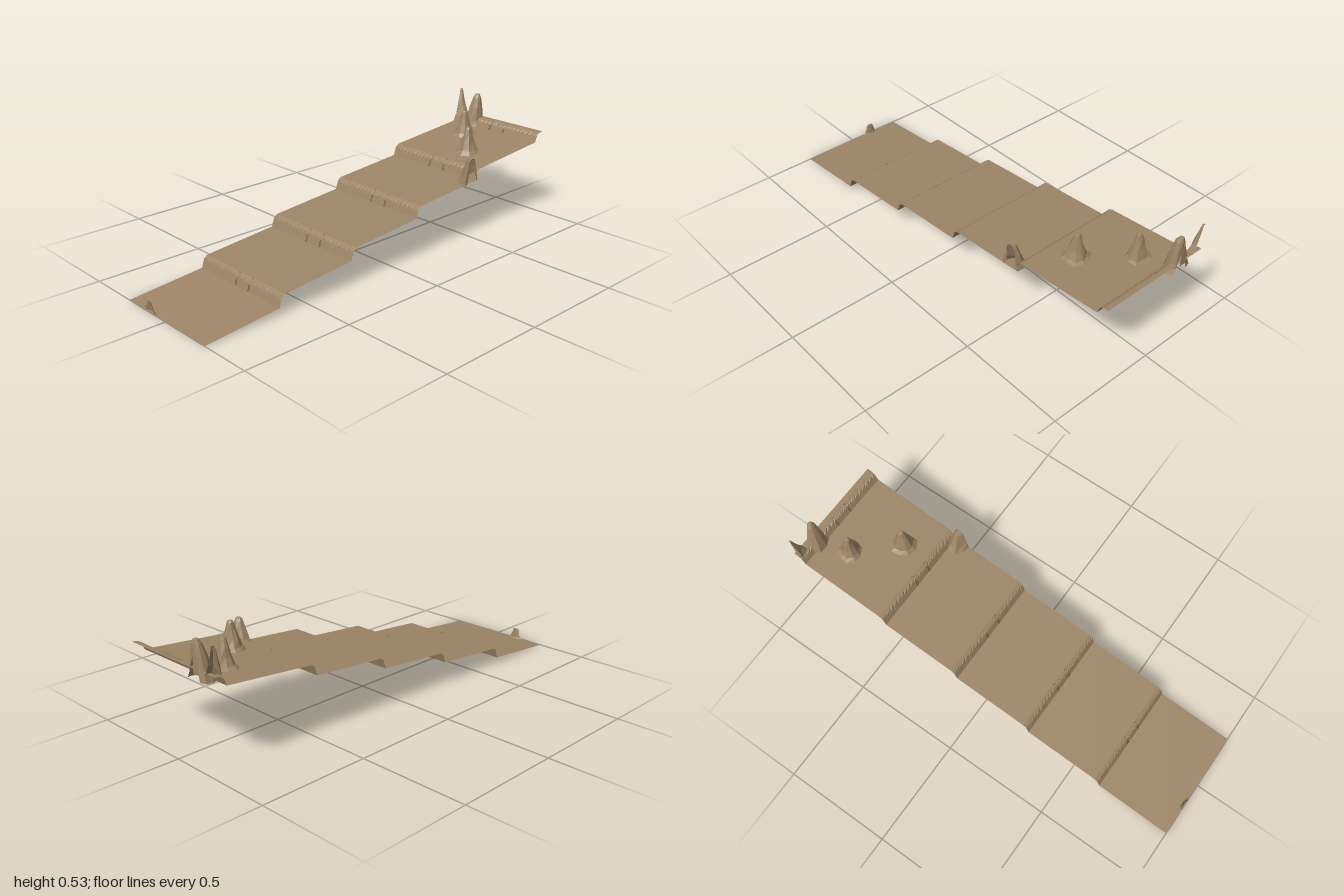
import * as THREE from 'three';

const W = 0.26; // half width of the terrace strip
// each step: riser foot z, foot y, lip z, lip y
const STEPS = [
  [0.645, 0.031, 0.615, 0.083],
  [0.262, 0.113, 0.232, 0.165],
  [-0.125, 0.195, -0.155, 0.247],
  [-0.51, 0.276, -0.542, 0.328],
  [-0.947, 0.365, -0.98, 0.408],
];

const stone = new THREE.MeshStandardMaterial({ color: 0x9d8566, flatShading: true, side: THREE.DoubleSide });
stone.name = 'sandstone';
const crack = new THREE.MeshStandardMaterial({ color: 0x5c3826, flatShading: true, side: THREE.DoubleSide });
crack.name = 'dark rust';

function seeded(seed) {
  let s = seed;
  return () => (s = (s * 16807) % 2147483647) / 2147483647;
}

// sheet through rows of points; keep() may drop triangles
function sheet(rows, keep = () => true) {
  const pos = [];
  const tri = (a, b, c) => { if (keep(a, b, c)) pos.push(...a, ...b, ...c); };
  for (let j = 0; j < rows.length - 1; j++) {
    for (let i = 0; i < rows[j].length - 1; i++) {
      const a = rows[j][i], b = rows[j][i + 1], c = rows[j + 1][i + 1], d = rows[j + 1][i];
      tri(a, b, c);
      tri(a, c, d);
    }
  }
  const g = new THREE.BufferGeometry();
  g.setAttribute('position', new THREE.Float32BufferAttribute(pos, 3));
  g.computeVertexNormals();
  return g;
}

function add(group, geometry, material, name) {
  const m = new THREE.Mesh(geometry, material);
  m.name = name;
  group.add(m);
}

// sloping tread, with openings under the hollow rocks
function tread(z0, y0, z1, y1, holes = []) {
  const shape = new THREE.Shape([[-W, -z0], [W, -z0], [W, -z1], [-W, -z1]].map(p => new THREE.Vector2(...p)));
  for (const [x, z, rx, rz] of holes) {
    shape.holes.push(new THREE.Path(Array.from({ length: 9 }, (_, i) => {
      const a = -i / 9 * Math.PI * 2;
      return new THREE.Vector2(x + Math.cos(a) * rx, -z + Math.sin(a) * rz);
    })));
  }
  const g = new THREE.ShapeGeometry(shape);
  const p = g.attributes.position;
  for (let i = 0; i < p.count; i++) {
    const z = -p.getY(i);
    p.setXYZ(i, p.getX(i), y0 + (y1 - y0) * (z - z0) / (z1 - z0), z);
  }
  g.computeVertexNormals();
  return g;
}

// riser whose upper part is chipped into ragged teeth
function riser([z0, y0, z1, y1]) {
  const rnd = seeded(71), foot = [], mid = [], brow = [], lip = [];
  const xs = [-W];
  while (xs[xs.length - 1] < W) {
    const x = xs[xs.length - 1];
    const dense = x < -0.21 || x > 0.235 || (x > -0.03 && x < 0.1);
    xs.push(Math.min(W, x + (dense ? 0.004 : 0.009) + rnd() * 0.005));
  }
  const at = (x, t, s) => [x, y0 + (y1 - y0) * t, z0 + (z1 - z0) * s];
  xs.forEach((x, i) => {
    const tooth = i % 2;
    foot.push(at(x, 0, 0));
    mid.push(at(x, tooth ? 0.48 + rnd() * 0.12 : 0.75, tooth ? 0.3 : 0.42));
    brow.push(at(x, tooth ? 0.82 : 0.9, tooth ? 0.5 : 0.75));
    lip.push(at(x, 1, 1));
  });
  return sheet([foot, mid, brow, lip]);
}

// hollow spire: rings of [height, centre x, centre z, radius x, radius z], cut at the strip edges
function rock(rings, seed, floor) {
  const rnd = seeded(seed), n = 9;
  const wobble = Array.from({ length: n }, () => 0.86 + rnd() * 0.26);
  const clamp = (v, m) => Math.max(-m, Math.min(m, v));
  const rows = rings.map(([y, cx, cz, rx, rz], j) => {
    const row = [];
    for (let i = 0; i < n; i++) {
      const a = i / n * Math.PI * 2;
      const k = wobble[i] * (0.92 + rnd() * 0.16);
      const z = clamp(cz - Math.sin(a) * rz * k, 1);
      row.push([clamp(cx + Math.cos(a) * rx * k, W), j ? y : y + floor * (cz - z), z]);
    }
    return [...row, row[0]];
  });
  const [ty, tx, tz] = rings[rings.length - 1];
  const tip = [clamp(tx, W), ty + 0.002, clamp(tz, 1)];
  rows.push(rows[0].map(() => tip));
  const onCut = (axis, m) => (...t) => t.every(v => Math.abs(Math.abs(v[axis]) - m) < 1e-6);
  const side = onCut(0, W), end = onCut(2, 1);
  return sheet(rows, (a, b, c) => !side(a, b, c) && !end(a, b, c));
}

// usual spire outline with a flared skirt
function spire(x, z, y, h, rx, rz) {
  return [[0, 1], [0.12, 0.74], [0.4, 0.5], [0.72, 0.34], [0.95, 0.22], [1, 0.16]]
    .map(([t, r]) => [y + h * t, x, z, rx * r, rz * r]);
}

export function createModel() {
  const group = new THREE.Group();
  group.name = 'terracedRockPath';

  // treads and risers
  let z = 1, y = 0;
  STEPS.forEach((s, i) => {
    const holes = i === 4 ? [[-0.09, -0.83, 0.042, 0.038], [0.077, -0.665, 0.042, 0.038]] : [];
    add(group, tread(z, y, s[0], s[1], holes), stone, 'tread' + (i + 1));
    add(group, riser(s), stone, 'riser' + (i + 1));
    // narrow rust cracks down the riser
    for (const x of [-0.028, -0.021, 0.057, 0.063]) {
      const line = dx => [[x + dx, s[1], s[0] + 0.001], [x + dx, s[1] + (s[3] - s[1]) * 0.5, s[0] - 0.007], [x + dx, s[3], s[2] + 0.003]];
      add(group, sheet([line(-0.0012), line(0.0012)]), crack, 'riserCrack');
    }
    z = s[2];
    y = s[3];
  });
  add(group, tread(z, y, -1, 0.41), stone, 'topTread');

  // free-standing spires on the upper tread
  add(group, rock(spire(-0.09, -0.83, 0.352, 0.122, 0.064, 0.06), 12, 0.085), stone, 'middleSpire');
  add(group, rock(spire(0.077, -0.665, 0.338, 0.12, 0.064, 0.064), 57, 0.085), stone, 'frontSpire');

  // spires cut by the edges of the strip
  add(group, rock([
    [0.363, -0.145, -0.975, 0.062, 0.055], [0.39, -0.145, -0.975, 0.05, 0.045],
    [0.46, -0.142, -0.978, 0.034, 0.03], [0.505, -0.14, -0.982, 0.022, 0.018], [0.522, -0.14, -0.985, 0.012, 0.01],
  ], 33, 0.085), stone, 'backSpire');
  add(group, rock([
    [0.405, -0.26, -1, 0.064, 0.042], [0.445, -0.26, -1, 0.037, 0.03],
    [0.49, -0.26, -1, 0.022, 0.018], [0.528, -0.26, -1, 0.011, 0.01],
  ], 91, 0), stone, 'cornerSpire');
  add(group, rock([
    [0.273, 0.25, -0.485, 0.06, 0.05], [0.3, 0.252, -0.485, 0.044, 0.04],
    [0.345, 0.256, -0.485, 0.032, 0.03], [0.375, 0.258, -0.485, 0.025, 0.02], [0.384, 0.26, -0.485, 0.02, 0.012],
  ], 45, 0.085), stone, 'sideSpire');
  add(group, rock([
    [0.001, -0.108, 1, 0.05, 0.016], [0.006, -0.108, 1, 0.034, 0.012],
    [0.03, -0.109, 1, 0.024, 0.009], [0.048, -0.11, 1, 0.018, 0.005],
  ], 23, 0), stone, 'frontEdgeStone');

  return group;
}
